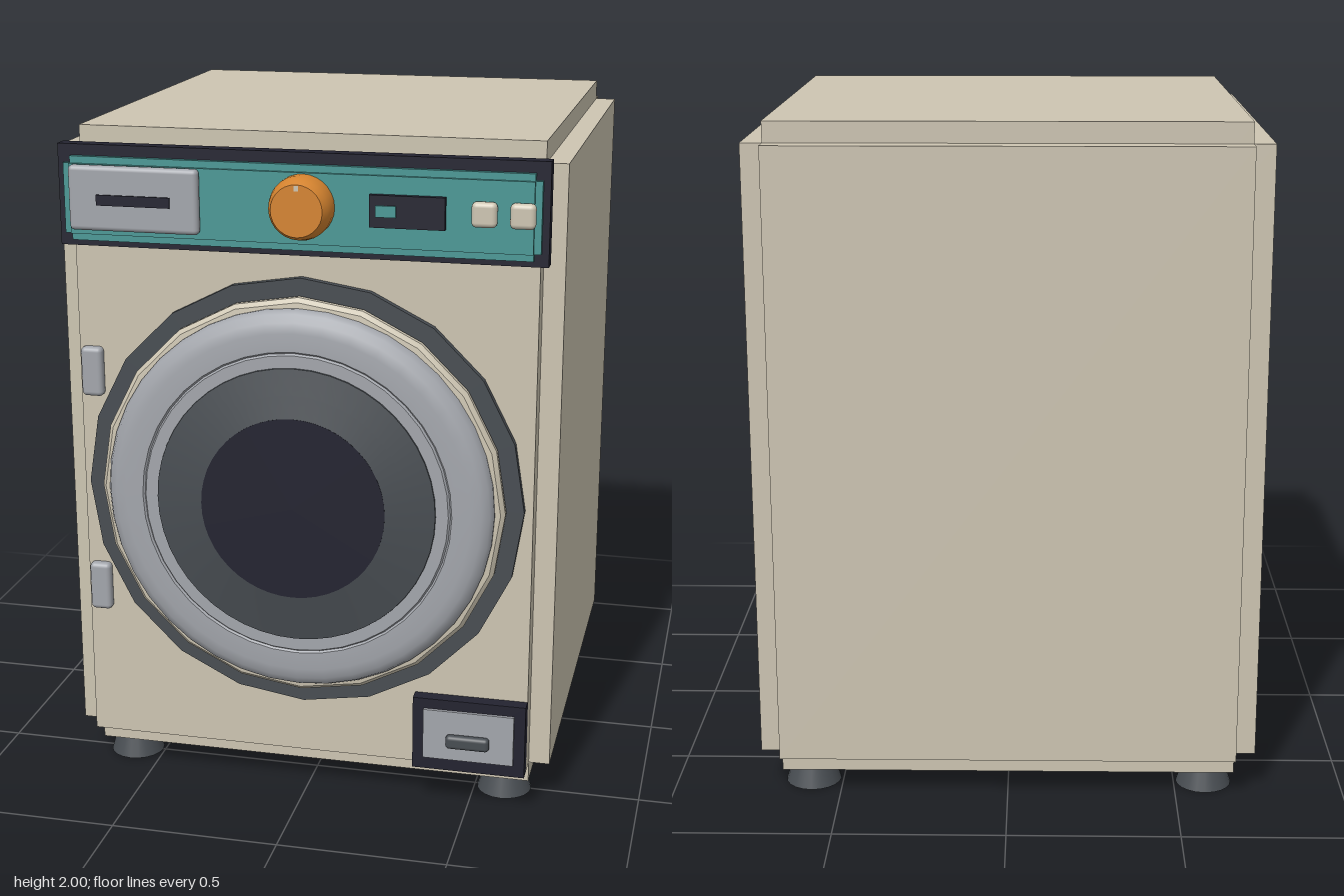
import * as THREE from 'three';
import { toCreasedNormals } from 'three/addons/utils/BufferGeometryUtils.js';
import { RoundedBoxGeometry } from 'three/addons/geometries/RoundedBoxGeometry.js';

const mat = (name, color) => {
  const m = new THREE.MeshStandardMaterial({ color });
  m.name = name;
  return m;
};

export function createModel() {
  const cream = mat('cream enamel', 0xcdc5b2);
  const navy = mat('dark navy', 0x232330);
  const teal = mat('teal', 0x4a9895);
  const grey = mat('light grey', 0xa3a6ac);
  const charcoal = mat('charcoal', 0x484d52);
  const orange = mat('orange', 0xd4832f);

  const model = new THREE.Group();
  model.name = 'washingMachine';

  const add = (parent, name, geometry, material, x = 0, y = 0, z = 0) => {
    const mesh = new THREE.Mesh(geometry, material);
    mesh.name = name;
    mesh.position.set(x, y, z);
    parent.add(mesh);
    return mesh;
  };
  // Box given by its limits; a radius rounds its edges
  const box = (parent, name, material, x0, x1, y0, y1, z0, z1, radius = 0) => {
    const s = [x1 - x0, y1 - y0, z1 - z0];
    const g = radius ? new RoundedBoxGeometry(...s, 3, radius) : new THREE.BoxGeometry(...s);
    return add(parent, name, g, material, (x0 + x1) / 2, (y0 + y1) / 2, (z0 + z1) / 2);
  };
  // Round part turned about the z axis: profile of [radius, z], from back to front
  const turned = (parent, name, material, profile, sides, x, y, crease = 0.5) => {
    const pts = profile.map(([r, z]) => new THREE.Vector2(r, z));
    const g = new THREE.LatheGeometry(pts, sides).rotateX(Math.PI / 2);
    return add(parent, name, toCreasedNormals(g, crease), material, x, y, 0);
  };
  const group = (name) => {
    const g = new THREE.Group();
    g.name = name;
    model.add(g);
    return g;
  };

  // Cabinet: core with raised side, front and back panels
  const cabinet = group('cabinet');
  box(cabinet, 'core', cream, -0.673, 0.673, 0.067, 2, -0.725, 0.58);
  box(cabinet, 'sidePanels', cream, -0.735, 0.735, 0.13, 1.94, -0.725, 0.58);
  box(cabinet, 'frontBackPanels', cream, -0.673, 0.673, 0.13, 1.94, -0.785, 0.645);

  // Tapered feet
  for (const x of [-0.59, 0.59]) {
    for (const z of [-0.64, 0.5]) {
      add(model, 'foot', new THREE.CylinderGeometry(0.062, 0.083, 0.068, 20), charcoal, x, 0.034, z);
    }
  }

  // Control panel
  const panel = group('controlPanel');
  box(panel, 'panelFrame', navy, -0.7, 0.7, 1.672, 1.962, 0.64, 0.685);
  box(panel, 'panelFace', teal, -0.66, 0.66, 1.69, 1.93, 0.68, 0.7);
  box(panel, 'panelFaceWide', teal, -0.68, 0.68, 1.71, 1.91, 0.68, 0.7);
  box(panel, 'panelFaceFront', teal, -0.66, 0.66, 1.71, 1.91, 0.68, 0.71);
  box(panel, 'detergentDrawer', grey, -0.655, -0.275, 1.725, 1.91, 0.705, 0.738, 0.014);
  box(panel, 'drawerSlot', navy, -0.57, -0.355, 1.8, 1.83, 0.735, 0.743);
  box(panel, 'display', navy, 0.21, 0.42, 1.77, 1.86, 0.7, 0.728);
  box(panel, 'displayLight', teal, 0.228, 0.285, 1.8, 1.832, 0.726, 0.733);
  for (const x of [0.527, 0.632]) {
    box(panel, 'button', cream, x - 0.035, x + 0.035, 1.783, 1.853, 0.705, 0.738, 0.014);
  }
  turned(panel, 'dial', orange,
    [[0.09, 0.705], [0.09, 0.74], [0.084, 0.765], [0.073, 0.785], [0, 0.785]], 28, 0.02, 1.817, 0.8);
  box(panel, 'dialMark', cream, 0.014, 0.026, 1.872, 1.887, 0.779, 0.786);

  // Door
  const door = group('door');
  const doorY = 0.954;
  turned(door, 'doorGasket', charcoal, [[0.65, 0.64], [0.65, 0.667], [0, 0.667]], 20, 0, doorY, 0.1);
  turned(door, 'doorTrim', cream,
    [[0.588, 0.66], [0.6, 0.675], [0.6, 0.692], [0.588, 0.705], [0.55, 0.71]], 20, 0, doorY, 0.6);
  turned(door, 'doorRing', grey,
    [[0.572, 0.695], [0.572, 0.715], [0.562, 0.735], [0.54, 0.749], [0.51, 0.754],
      [0.457, 0.754], [0.452, 0.748], [0.447, 0.755], [0.4, 0.755]], 40, 0, doorY, 0.6);
  turned(door, 'glassBowl', charcoal,
    [[0.412, 0.752], [0.41, 0.759], [0.335, 0.772], [0.27, 0.784]], 48, 0, doorY, 0.5);
  turned(door, 'glassCentre', navy, [[0.27, 0.782], [0.27, 0.785], [0, 0.785]], 48, 0, doorY);

  // Hinges on the right edge of the door
  for (const y of [1.29, 0.615]) {
    box(model, 'hinge', grey, -0.665, -0.6, y - 0.074, y + 0.074, 0.635, 0.672, 0.014);
  }

  // Filter hatch
  const hatch = group('filterHatch');
  box(hatch, 'hatchFrame', navy, 0.337, 0.673, 0.13, 0.357, 0.64, 0.685);
  box(hatch, 'hatchCover', grey, 0.37, 0.64, 0.17, 0.326, 0.68, 0.695);
  box(hatch, 'hatchHandle', charcoal, 0.44, 0.57, 0.214, 0.256, 0.69, 0.718, 0.012);

  return model;
}
